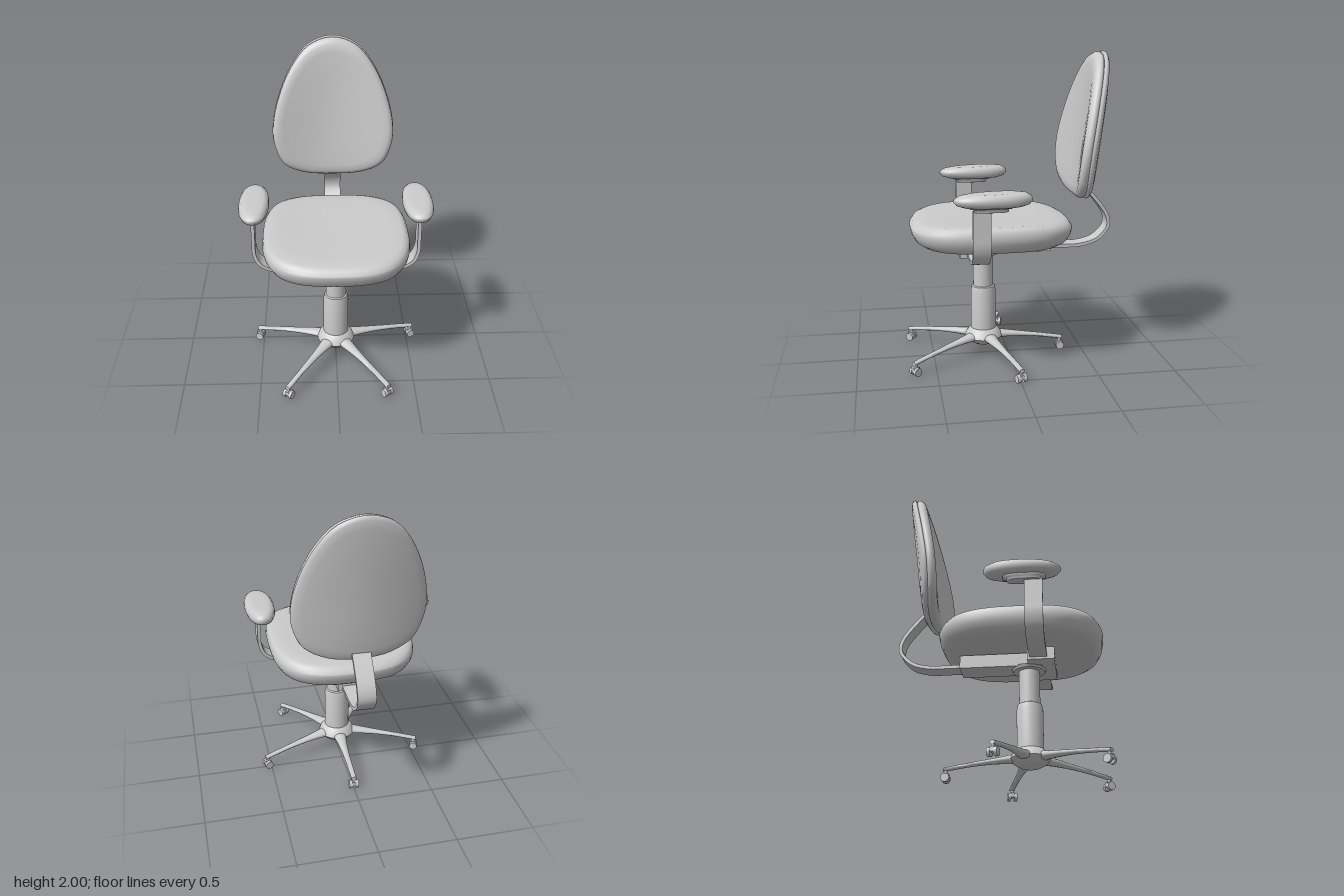
import * as THREE from 'three';
import { toCreasedNormals } from 'three/addons/utils/BufferGeometryUtils.js';

const grey = new THREE.MeshStandardMaterial({ color: 0xcccccc });

function add(parent, name, geometry, x = 0, y = 0, z = 0) {
  const mesh = new THREE.Mesh(geometry, grey);
  mesh.name = name;
  mesh.position.set(x, y, z);
  parent.add(mesh);
  return mesh;
}

// Closed cushion: an outline (counterclockwise) scaled by rings of [scale, height],
// capped by a pole at each end; place(u, v, h) gives the final position.
function cushion(outline, rings, place) {
  const n = outline.length, last = rings.length - 1, pos = [], index = [];
  rings.forEach(([s, h], i) => {
    if (i === 0 || i === last) pos.push(...place(0, 0, h));
    else outline.forEach(p => pos.push(...place(p.x * s, p.y * s, h)));
  });
  const id = (i, j) => 1 + (i - 1) * n + (j % n);
  const top = pos.length / 3 - 1;
  for (let j = 0; j < n; j++) {
    index.push(0, id(1, j + 1), id(1, j));
    for (let i = 1; i < last - 1; i++) {
      index.push(id(i, j), id(i, j + 1), id(i + 1, j + 1));
      index.push(id(i, j), id(i + 1, j + 1), id(i + 1, j));
    }
    index.push(top, id(last - 1, j), id(last - 1, j + 1));
  }
  const g = new THREE.BufferGeometry();
  g.setAttribute('position', new THREE.Float32BufferAttribute(pos, 3));
  g.setIndex(index);
  g.computeVertexNormals();
  return g;
}

// Rounded-rectangle outline
function superellipse(a, b, power, n = 48) {
  const f = v => Math.sign(v) * Math.abs(v) ** (2 / power);
  return Array.from({ length: n }, (_, i) => {
    const t = (i / n) * Math.PI * 2;
    return new THREE.Vector2(a * f(Math.cos(t)), b * f(Math.sin(t)));
  });
}

// Flat bar of even thickness bent along a 2D path, centred on its width
function strap(points, thickness, width) {
  const curve = new THREE.SplineCurve(points.map(p => new THREE.Vector2(...p)));
  const a = [], b = [];
  for (let i = 0; i <= 32; i++) {
    const p = curve.getPoint(i / 32), t = curve.getTangent(i / 32);
    const off = new THREE.Vector2(-t.y, t.x).multiplyScalar(thickness / 2);
    a.push(p.clone().add(off));
    b.unshift(p.clone().sub(off));
  }
  const g = new THREE.ExtrudeGeometry(new THREE.Shape([...a, ...b]), { depth: width, bevelEnabled: false });
  g.translate(0, 0, -width / 2);
  return toCreasedNormals(g, 0.6);
}

function lathe(points) {
  return toCreasedNormals(new THREE.LatheGeometry(points.map(p => new THREE.Vector2(...p)), 32), 0.6);
}

// Tapering, gently arched leg pointing along +z
function legGeometry(length) {
  const g = new THREE.CylinderGeometry(1, 1, 1, 12, 12).rotateX(Math.PI / 2);
  const p = g.attributes.position;
  for (let i = 0; i < p.count; i++) {
    const t = p.getZ(i) + 0.5;
    const flare = (1 - t) ** 3;
    p.setXYZ(i,
      p.getX(i) * (0.018 + 0.04 * flare),
      p.getY(i) * (0.013 + 0.022 * flare) + 0.138 - 0.022 * t - 0.036 * t * t,
      0.04 + t * (length - 0.025));
  }
  return toCreasedNormals(g, 0.9);
}

function createModel() {
  const chair = new THREE.Group();
  chair.name = 'officeChair';
  const cz = 0.165;

  // Five-legged base with twin-wheel casters
  const base = new THREE.Group();
  base.name = 'base';
  base.position.z = cz;
  chair.add(base);
  add(base, 'hub', lathe([[0, 0.08], [0.065, 0.08], [0.1, 0.1], [0.125, 0.13], [0.115, 0.155], [0.09, 0.185], [0.08, 0.19]]));
  for (const [x, z] of [[0, -0.355], [0.525, 0], [-0.525, 0], [0.315, 0.635], [-0.315, 0.635]]) {
    const r = Math.hypot(x, z - cz);
    const leg = new THREE.Group();
    leg.name = 'legWithCaster';
    leg.rotation.y = Math.atan2(x, z - cz);
    base.add(leg);
    add(leg, 'leg', legGeometry(r));
    add(leg, 'casterStem', new THREE.CylinderGeometry(0.011, 0.011, 0.05, 12), 0, 0.065, r);
    add(leg, 'casterYoke', new THREE.BoxGeometry(0.024, 0.03, 0.045), 0, 0.04, r);
    for (const s of [-1, 1]) {
      const wheel = new THREE.CylinderGeometry(0.027, 0.027, 0.02, 14).rotateZ(Math.PI / 2);
      add(leg, 'casterWheel', wheel, s * 0.021, 0.028, r);
    }
  }

  // Gas column
  add(chair, 'columnSleeve', lathe([[0.083, 0.15], [0.083, 0.44], [0.076, 0.475], [0.066, 0.48]]), 0, 0, cz);
  add(chair, 'columnPiston', new THREE.CylinderGeometry(0.066, 0.066, 0.3, 32), 0, 0.59, cz);
  add(chair, 'columnCollar', new THREE.CylinderGeometry(0.11, 0.1, 0.02, 32), 0, 0.707, cz);

  // Mechanism under the seat
  add(chair, 'mechanismBox', new THREE.BoxGeometry(0.17, 0.085, 0.6), 0, 0.754, 0.03);
  add(chair, 'armCrossBox', new THREE.BoxGeometry(0.36, 0.08, 0.17), 0, 0.752, 0.25);

  // Seat: dished across, rolled down at front and back
  const seatRings = [[0, 0.81], [0.5, 0.808], [0.78, 0.795], [0.87, 0.79], [0.94, 0.812], [0.985, 0.85],
    [1, 0.885], [0.99, 0.92], [0.96, 0.942], [0.9, 0.955], [0.75, 0.956], [0.5, 0.952], [0.25, 0.95], [0, 0.95]];
  add(chair, 'seat', cushion(superellipse(0.47, 0.52, 2.9, 64), seatRings, (u, v, h) =>
    [u, h + 0.008 * (u / 0.47) ** 2 - (h > 0.9 ? 0.015 : -0.012) * (v / 0.52) ** 4, 0.12 - v]));

  // Backrest: egg outline, tilted back, sides wrapped forward
  const half = [[0.2, 1.08], [0.335, 1.15], [0.395, 1.27], [0.41, 1.4], [0.372, 1.6], [0.28, 1.81], [0.16, 1.95]];
  const loop = [[0, 1.06], ...half, [0, 2], ...half.map(([x, y]) => [-x, y]).reverse()];
  const midY = 1.5;
  const egg = new THREE.CatmullRomCurve3(loop.map(([x, y]) => new THREE.Vector3(x, y - midY, 0)), true)
    .getPoints(64).slice(0, -1);
  const wrap = (u, v, h) => [u, v + midY, -0.52 - 0.125 * (v + midY - 1.07) / 0.93 + h + 0.42 * u * u];
  add(chair, 'backShell', cushion(egg, [[0, 0], [0.3, 0], [0.6, 0], [0.85, 0.002], [0.95, 0.007], [0.99, 0.018],
    [1, 0.03], [0.985, 0.042], [0.9, 0.045], [0.5, 0.045], [0, 0.045]], wrap));
  add(chair, 'backCushion', cushion(egg, [[0, 0.035], [0.5, 0.035], [0.9, 0.037], [0.975, 0.044], [0.99, 0.058],
    [0.985, 0.075], [0.96, 0.092], [0.91, 0.105], [0.82, 0.11], [0.6, 0.108], [0.3, 0.106], [0, 0.106]], wrap));

  // Curved flat bar carrying the backrest
  const bar = strap([[-0.25, 0.735], [-0.36, 0.735], [-0.47, 0.737], [-0.58, 0.767], [-0.655, 0.84],
    [-0.662, 0.91], [-0.62, 0.99], [-0.52, 1.11]], 0.022, 0.115).rotateY(-Math.PI / 2);
  add(chair, 'backBar', bar);

  // Armrests
  const padRings = [[0, 1.112], [0.5, 1.112], [0.75, 1.112], [0.92, 1.125], [1, 1.148], [0.97, 1.168],
    [0.85, 1.185], [0.65, 1.192], [0.35, 1.192], [0, 1.192]];
  for (const s of [1, -1]) {
    const arm = new THREE.Group();
    arm.name = s > 0 ? 'leftArmrest' : 'rightArmrest';
    chair.add(arm);
    const path = [[0.15, 0.738], [0.25, 0.738], [0.36, 0.738], [0.43, 0.75], [0.49, 0.79], [0.518, 0.86],
      [0.52, 0.94], [0.52, 1.02], [0.52, 1.09]].map(([x, y]) => [s * x, y]);
    add(arm, 'armStrap', strap(path, 0.022, 0.11), 0, 0, 0.235);
    const plate = superellipse(0.048, 0.13, 3, 32);
    add(arm, 'armPlate', cushion(plate, [[0, 1.08], [0.75, 1.08], [0.8, 1.082], [0.82, 1.1], [1, 1.102], [1, 1.125], [0, 1.125]],
      (u, v, h) => [u + s * 0.513, h, 0.18 - v]));
    // pad top rises slightly towards the rear
    add(arm, 'armPad', cushion(superellipse(0.095, 0.237, 2.25, 40), padRings,
      (u, v, h) => [u + s * 0.513, h + (h > 1.15 ? 0.03 * v : 0), 0.168 - v]));
  }
  return chair;
}

export { createModel };
